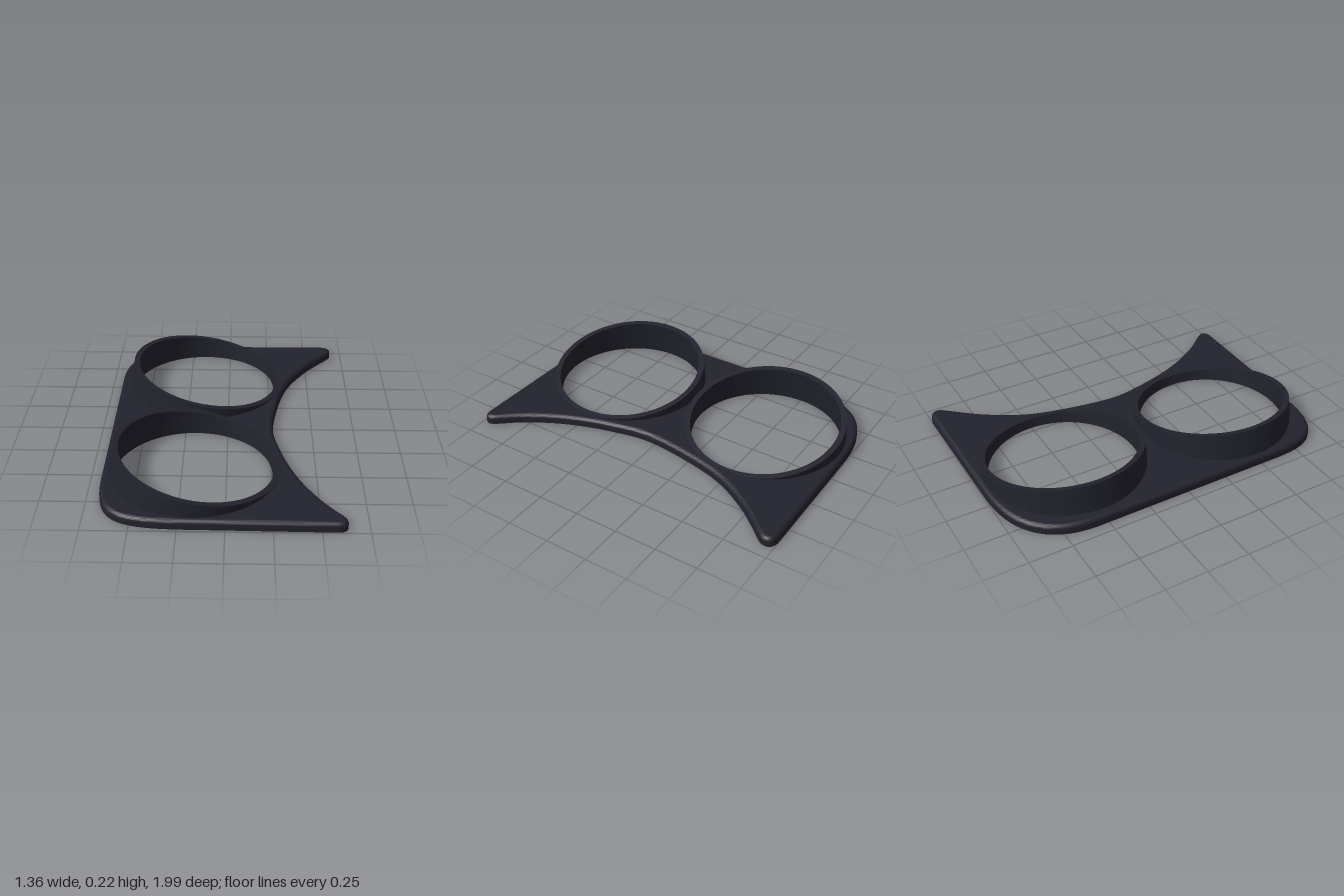
import * as THREE from 'three';
import { toCreasedNormals } from 'three/addons/utils/BufferGeometryUtils.js';

const TILT = THREE.MathUtils.degToRad(10);
const PLATE_TOP = 0.055;
const R_IN = 0.437, R_MID = 0.453, R_OUT = 0.47;
const RINGS = [
  { name: 'frontRing', x: -0.162, y: 0.138, z: 0.486 },
  { name: 'backRing', x: -0.137, y: 0.134, z: -0.498 },
];

// Joins closed loops of points into a skin
function loft(rows, crease) {
  const n = rows[0].length, index = [];
  for (let i = 0; i < rows.length - 1; i++) {
    for (let j = 0; j < n; j++) {
      const a = i * n + j, b = i * n + (j + 1) % n;
      index.push(a, a + n, b, b, a + n, b + n);
    }
  }
  const geo = new THREE.BufferGeometry().setFromPoints(rows.flat());
  geo.setIndex(index);
  return toCreasedNormals(geo, crease);
}

// Plate outline in x, z
function outlinePoints(count) {
  const p = new THREE.Path();
  p.moveTo(-0.685, -0.55);
  p.bezierCurveTo(-0.685, -0.82, -0.54, -0.995, -0.18, -0.997);
  p.lineTo(0.61, -1);
  p.bezierCurveTo(0.675, -1, 0.695, -0.955, 0.66, -0.91);
  p.splineThru([[0.48, -0.69], [0.345, -0.42], [0.268, 0.01], [0.305, 0.29], [0.39, 0.555], [0.505, 0.77], [0.615, 0.91]]
    .map(([x, z]) => new THREE.Vector2(x, z)));
  p.bezierCurveTo(0.65, 0.95, 0.64, 0.99, 0.59, 0.995);
  p.lineTo(-0.18, 0.985);
  p.bezierCurveTo(-0.56, 0.98, -0.685, 0.94, -0.685, 0.6);
  p.lineTo(-0.685, -0.55);
  return p.getSpacedPoints(count).slice(0, count);
}

// Moves the outline inwards along its normals
function inset(pts, d) {
  const n = pts.length;
  return pts.map((p, i) => {
    const t = pts[(i + 1) % n].clone().sub(pts[(i + n - 1) % n]).normalize();
    return new THREE.Vector2(p.x - t.y * d, p.y + t.x * d);
  });
}

// Flat face of the plate with both openings cut out
function sheet(pts, y, up) {
  const s = up ? -1 : 1;
  const shape = new THREE.Shape(pts.map((p) => new THREE.Vector2(p.x, p.y * s)));
  for (const r of RINGS) {
    const cx = r.x - (r.y - y) * Math.tan(TILT);
    const hole = new THREE.Path();
    hole.absellipse(cx, r.z * s, R_MID / Math.cos(TILT), R_MID, 0, Math.PI * 2, false);
    shape.holes.push(hole);
  }
  const geo = new THREE.ShapeGeometry(shape, 48);
  geo.rotateX(s * Math.PI / 2);
  return geo.translate(0, y, 0);
}

// Loop of a tilted tube: on its rim plane, or cut level at height y
function ringLoop(ring, radius, y) {
  const loop = [];
  for (let i = 0; i < 96; i++) {
    const a = i / 96 * Math.PI * 2;
    const u = Math.cos(a) * radius;
    const p = new THREE.Vector3(ring.x + u * Math.cos(TILT), ring.y - u * Math.sin(TILT), ring.z + Math.sin(a) * radius);
    if (y !== undefined) {
      p.x -= (p.y - y) * Math.tan(TILT);
      p.y = y;
    }
    loop.push(p);
  }
  return loop;
}

export function createModel() {
  const group = new THREE.Group();
  const dark = new THREE.MeshStandardMaterial({ color: 0x22222d });
  dark.name = 'darkSlate';
  const add = (name, geo, parent) => {
    const mesh = new THREE.Mesh(geo, dark);
    mesh.name = name;
    parent.add(mesh);
  };

  // Plate with a rounded upper edge and flat underside
  const plate = new THREE.Group();
  plate.name = 'plate';
  group.add(plate);
  const outline = outlinePoints(400);
  const R = 0.025;
  const profile = [[0, 0]];
  for (let i = 0; i <= 6; i++) {
    const a = i / 6 * Math.PI / 2;
    profile.push([R * (1 - Math.cos(a)), PLATE_TOP - R + R * Math.sin(a)]);
  }
  const rows = profile.map(([d, y]) => inset(outline, d).map((p) => new THREE.Vector3(p.x, y, p.y)));
  add('plateEdge', loft(rows, 0.7), plate);
  add('plateTop', sheet(inset(outline, R), PLATE_TOP, true), plate);
  add('plateUnderside', sheet(outline, 0, false), plate);

  // Tilted rings: outer wall, rim, inner wall, lower lip
  for (const ring of RINGS) {
    const loops = [
      ringLoop(ring, R_MID, 0),
      ringLoop(ring, R_OUT, 0.03),
      ringLoop(ring, R_OUT),
      ringLoop(ring, R_IN),
      ringLoop(ring, R_IN, 0),
      ringLoop(ring, R_MID, 0),
    ];
    add(ring.name, loft(loops, 0.5), group);
  }
  return group;
}
